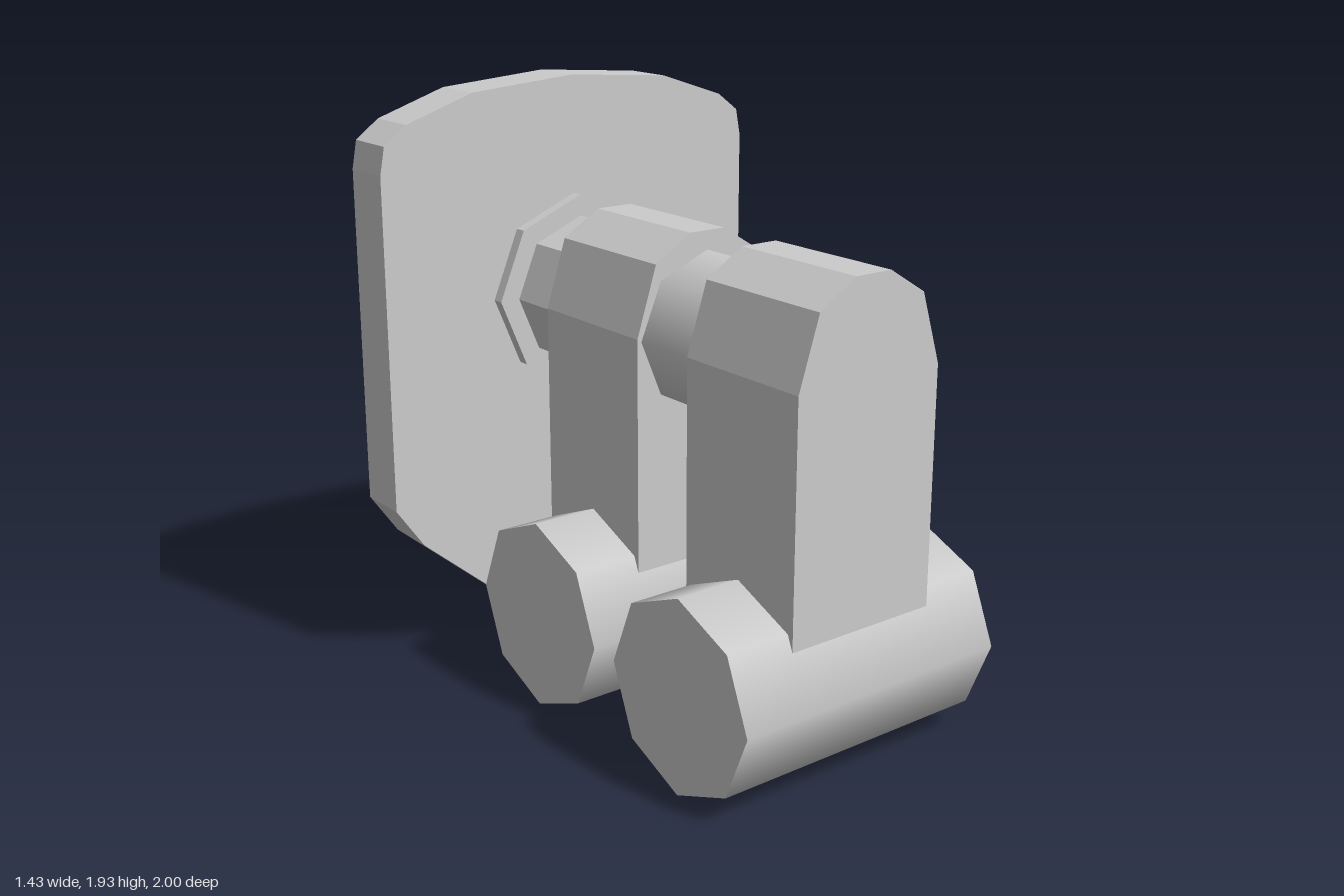
import * as THREE from 'three';

const smooth = new THREE.MeshStandardMaterial({ color: 0xcccccc });
const flat = new THREE.MeshStandardMaterial({ color: 0xcccccc, flatShading: true });

function add(group, name, geometry, material, x = 0, y = 0, z = 0) {
  const mesh = new THREE.Mesh(geometry, material);
  mesh.name = name;
  mesh.position.set(x, y, z);
  group.add(mesh);
}

// Octagonal cylinder lying along z between two depths
function addShaft(group, name, radius, y, z0, z1, material) {
  const geometry = new THREE.CylinderGeometry(radius, radius, z1 - z0, 8).rotateX(Math.PI / 2);
  add(group, name, geometry, material, 0, y, (z0 + z1) / 2);
}

// Full loop from its right half, listed top to bottom
function mirrorLoop(half) {
  const left = half.slice(1, -1).reverse().map(([x, y]) => [-x, y]);
  return [...half, ...left];
}

function extrude(points, depth) {
  const shape = new THREE.Shape(points.map(([x, y]) => new THREE.Vector2(x, y)));
  return new THREE.ExtrudeGeometry(shape, { depth, bevelEnabled: false });
}

// Domed surface facing -z, lofted through loops and closed at the crown
function loft(loops, depths) {
  const n = loops[0].length;
  const positions = [];
  const index = [];
  loops.forEach((loop, i) => loop.forEach(([x, y]) => positions.push(x, y, depths[i])));
  for (let i = 0; i < loops.length - 1; i++) {
    for (let j = 0; j < n; j++) {
      const a = i * n + j;
      const b = i * n + (j + 1) % n;
      index.push(a, b, a + n, b, b + n, a + n);
    }
  }
  const last = (loops.length - 1) * n;
  const centre = positions.length / 3;
  positions.push(0, 1.04, depths[depths.length - 1]);
  for (let j = 0; j < n; j++) index.push(last + j, last + (j + 1) % n, centre);
  const geometry = new THREE.BufferGeometry();
  geometry.setAttribute('position', new THREE.Float32BufferAttribute(positions, 3));
  geometry.setIndex(index);
  geometry.computeVertexNormals();
  return geometry;
}

export function createModel() {
  const model = new THREE.Group();
  model.name = 'model';

  // Two arched arms, each on an octagonal crossbar
  const armOutline = [
    [-0.265, 0.45], [0.265, 0.45], [0.265, 1.23], [0.195, 1.45],
    [0.065, 1.53], [-0.065, 1.53], [-0.195, 1.45], [-0.265, 1.23],
  ];
  for (const [side, z] of [['front', 0.69], ['rear', -0.03]]) {
    const bar = new THREE.CylinderGeometry(0.31, 0.31, 0.97, 8).rotateZ(Math.PI / 2);
    add(model, side + 'Crossbar', bar, smooth, 0, 0.31, z);
    add(model, side + 'Arm', extrude(armOutline, 0.48), flat, 0, 0, z - 0.24);
  }

  // Axle between the arms, rear stub and collar against the plate
  addShaft(model, 'axle', 0.25, 1.22, 0.15, 0.51, smooth);
  addShaft(model, 'axleStub', 0.25, 1.22, -0.48, -0.2, flat);
  addShaft(model, 'collar', 0.32, 1.22, -0.51, -0.46, flat);

  // Back plate: straight rim with a domed back
  const rim = mirrorLoop([
    [0, 1.93], [0.38, 1.9], [0.62, 1.82], [0.7, 1.76], [0.717, 1.67],
    [0.717, 0.57], [0.62, 0.43], [0.27, 0.13], [0.1, 0.05], [0, 0.04],
  ]);
  const shoulder = mirrorLoop([
    [0, 1.67], [0.2, 1.67], [0.36, 1.66], [0.395, 1.64], [0.4, 1.6],
    [0.4, 0.76], [0.36, 0.67], [0.13, 0.44], [0.06, 0.42], [0, 0.42],
  ]);
  const crown = mirrorLoop([
    [0, 1.25], [0.05, 1.25], [0.09, 1.25], [0.1, 1.24], [0.1, 1.22],
    [0.1, 0.95], [0.09, 0.92], [0.05, 0.84], [0.02, 0.83], [0, 0.83],
  ]);
  add(model, 'plateRim', extrude([...rim].reverse(), 0.18), flat, 0, 0, -0.68);
  add(model, 'plateDome', loft([rim, shoulder, crown], [-0.68, -0.88, -1]), smooth);

  return model;
}
